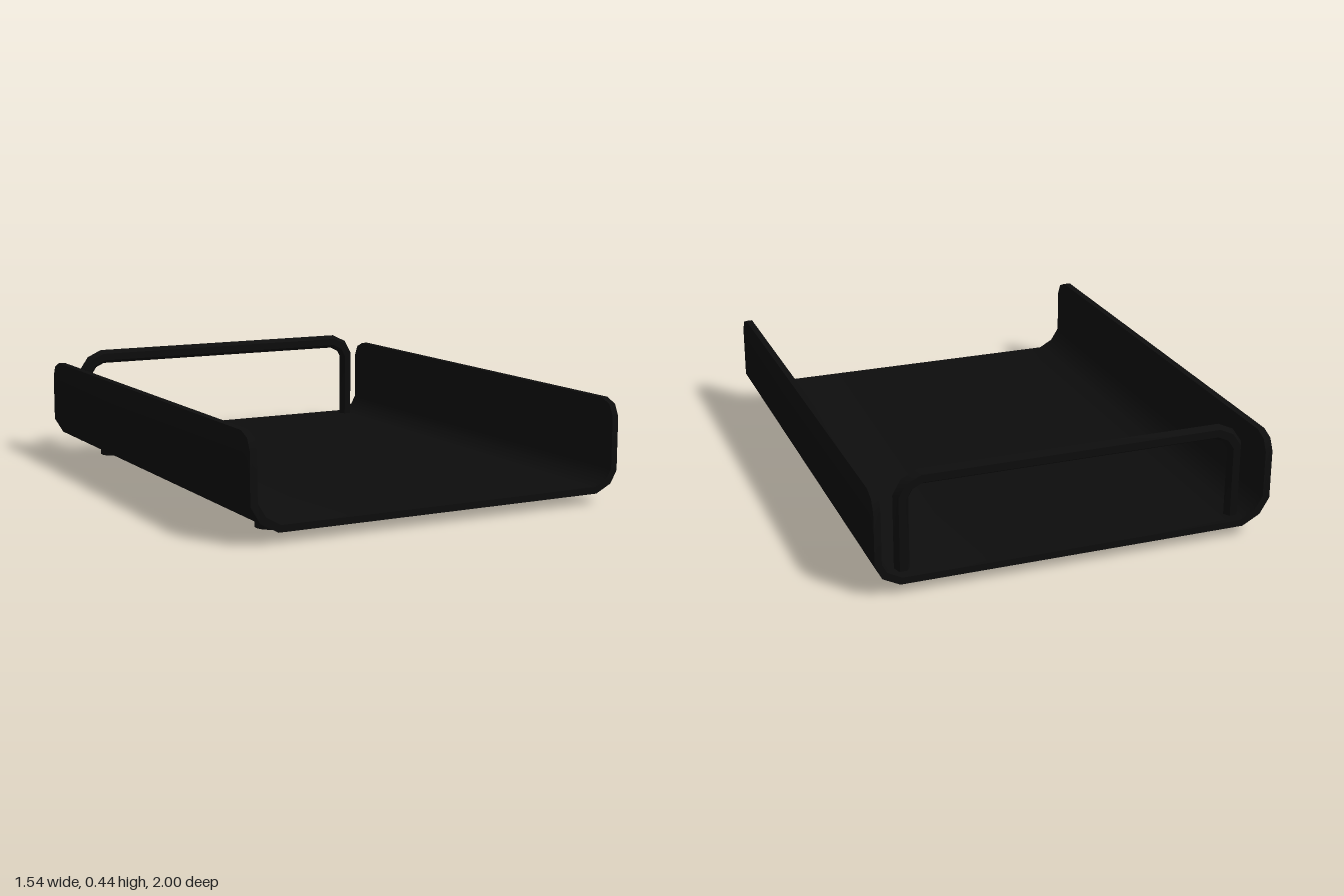
import * as THREE from 'three';
import { toCreasedNormals } from 'three/addons/utils/BufferGeometryUtils.js';

const V2 = (p) => new THREE.Vector2(p[0], p[1]);

// Closed solid through a list of equal-length loops; cap is the 2D outline of a loop.
function loft(loops, cap, crease) {
  const n = cap.length;
  const index = [];
  for (let i = 0; i < loops.length - 1; i++) {
    for (let j = 0; j < n; j++) {
      const a = i * n + j, b = i * n + ((j + 1) % n);
      index.push(a, b, b + n, a, b + n, a + n);
    }
  }
  const last = (loops.length - 1) * n;
  for (const [a, b, c] of THREE.ShapeUtils.triangulateShape(cap.map(V2), [])) {
    index.push(c, b, a, last + a, last + b, last + c);
  }
  const geometry = new THREE.BufferGeometry();
  geometry.setAttribute('position', new THREE.Float32BufferAttribute(loops.flat(2), 3));
  geometry.setIndex(index);
  return toCreasedNormals(geometry, crease);
}

// Folded sheet: one cross-section run along z, its wall tops lowered at the ends
function trayGeometry() {
  const top = 0.395;
  const section = [
    [-0.772, top], [-0.772, 0.14], [-0.735, 0.078], [-0.665, 0.04],
    [0.68, 0.04], [0.745, 0.073], [0.772, 0.122], [0.772, top],
    [0.746, top], [0.746, 0.13], [0.727, 0.095], [0.672, 0.066],
    [-0.655, 0.066], [-0.712, 0.098], [-0.744, 0.15], [-0.744, top],
  ];
  const ends = [[-1, 0.33], [-0.978, 0.375], [-0.93, top], [0.93, top], [0.978, 0.375], [1, 0.33]];
  const loops = ends.map(([z, h]) => section.map(([x, y]) => [x, Math.min(y, h), z]));
  return loft(loops, section.map(([x, y]) => [x, Math.min(y, 0.33)]), 0.75);
}

// Six-sided bar mitred along a path in the xy plane
function railGeometry(path, radius, z) {
  const pts = path.map(V2);
  const ring = Array.from({ length: 6 }, (_, k) => {
    const a = (k * Math.PI) / 3;
    return [Math.cos(a) * radius, Math.sin(a) * radius];
  });
  const loops = pts.map((p, i) => {
    const before = p.clone().sub(pts[Math.max(i - 1, 0)]).normalize();
    const after = pts[Math.min(i + 1, pts.length - 1)].clone().sub(p).normalize();
    const t = before.clone().add(after).normalize();
    const miter = 1 / t.dot(i ? before : after);
    return ring.map(([u, v]) => [p.x - t.y * u * miter, p.y + t.x * u * miter, z + v]);
  });
  return loft(loops, ring, 0.9);
}

// Flat strip with round ends, lying on the ground
function footGeometry(x0, x1, width, height) {
  const r = width / 2;
  const shape = new THREE.Shape();
  shape.absarc(x1 - r, 0, r, -Math.PI / 2, Math.PI / 2);
  shape.absarc(x0 + r, 0, r, Math.PI / 2, (Math.PI * 3) / 2);
  const geometry = new THREE.ExtrudeGeometry(shape, { depth: height, bevelEnabled: false, curveSegments: 8 });
  return toCreasedNormals(geometry.rotateX(-Math.PI / 2), 0.6);
}

export function createModel() {
  const model = new THREE.Group();
  model.name = 'letterTray';
  const black = new THREE.MeshStandardMaterial({ color: 0x0d0d0d });
  black.name = 'black';

  const add = (name, geometry) => {
    const mesh = new THREE.Mesh(geometry, black);
    mesh.name = name;
    model.add(mesh);
    return mesh;
  };

  add('tray', trayGeometry());

  // Raised stop rail at the back
  add('backRail', railGeometry([
    [-0.648, 0.045], [-0.648, 0.347], [-0.618, 0.39], [-0.57, 0.412],
    [0.58, 0.412], [0.63, 0.388], [0.653, 0.347], [0.653, 0.045],
  ], 0.029, -0.931));

  // Strip feet under the floor
  const foot = footGeometry(-0.63, 0.61, 0.115, 0.045);
  add('frontFoot', foot).position.z = 0.748;
  add('backFoot', foot).position.z = -0.8;

  return model;
}
